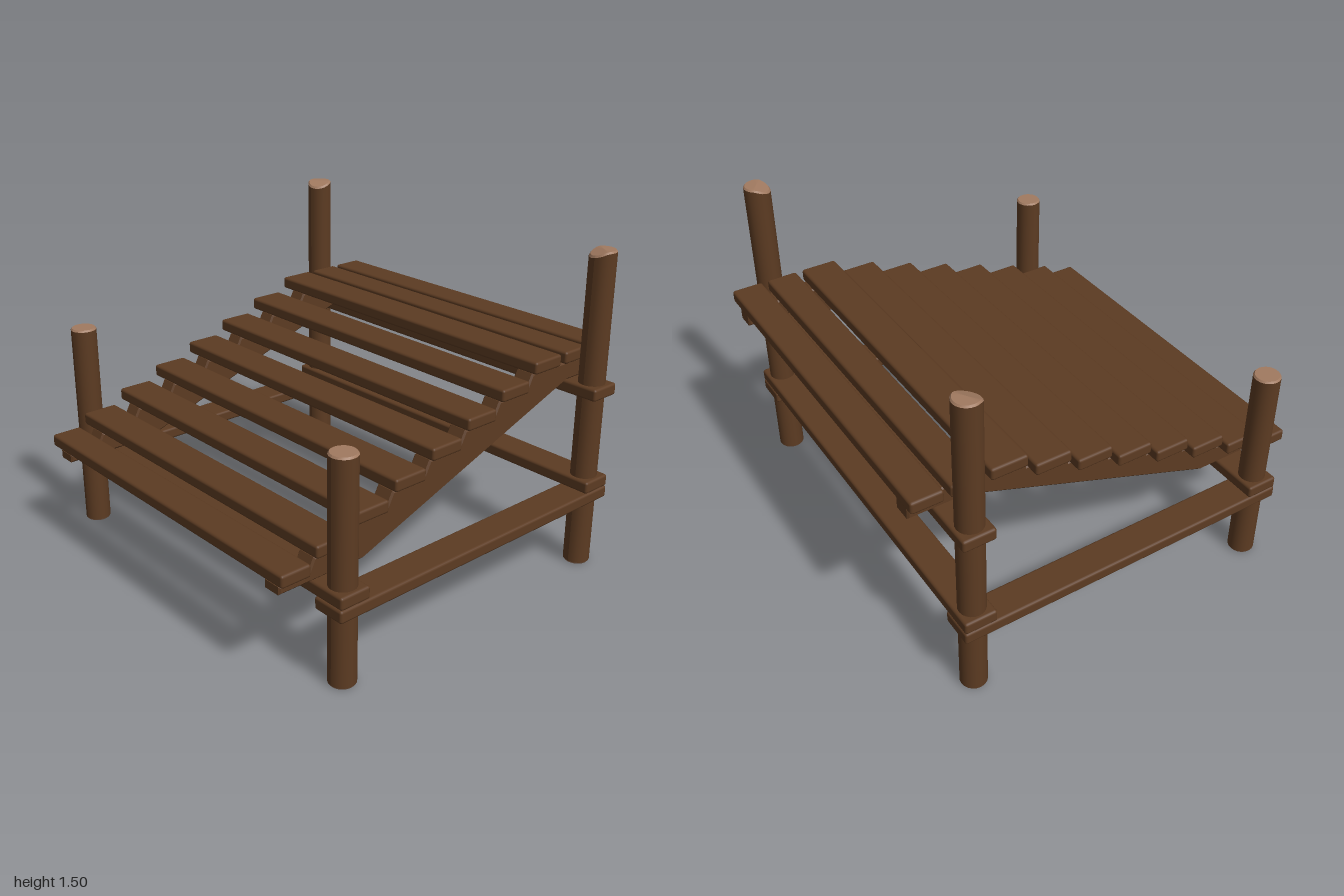
import * as THREE from 'three';
import { RoundedBoxGeometry } from 'three/addons/geometries/RoundedBoxGeometry.js';

const wood = new THREE.MeshStandardMaterial({ color: 0x5c3b22 });
wood.name = 'dark wood';
const cutWood = new THREE.MeshStandardMaterial({ color: 0xa17a60 });
cutWood.name = 'cut wood';

const POST_X = 0.922, FRONT_Z = 0.715, REAR_Z = -0.757, POST_R = 0.06;
const BOARD = 0.057;

// Planks from front to rear: [front z, rear z, centre y]
const planks = [[0.96, 0.815, 0.512]];
for (let i = 0; i < 7; i++) {
  const z = 0.787 - i * 0.2055;
  planks.push([z, z - 0.17, 0.574 + i * 0.0722]);
}
planks.push([-0.647, -0.792, 1.007], [-0.82, -0.965, 1.007]);

// Softened board spanning the given size about a centre
function board(name, w, h, d, x, y, z) {
  const mesh = new THREE.Mesh(new RoundedBoxGeometry(w, h, d, 2, 0.012), wood);
  mesh.name = name;
  mesh.position.set(x, y, z);
  return mesh;
}

// Round post with pale chamfered ends; the top can be cut at a slant
function post(name, x, z, height, slant) {
  const group = new THREE.Group();
  group.name = name;
  const c = 0.008;
  const parts = [
    ['postTrunk', POST_R, POST_R, c, height - c, wood],
    ['postTop', POST_R - 0.006, POST_R, height - c, height, cutWood],
    ['postBottom', POST_R, POST_R - 0.006, 0, c, cutWood],
  ];
  for (const [label, rTop, rBottom, y0, y1, material] of parts) {
    const geo = new THREE.CylinderGeometry(rTop, rBottom, y1 - y0, 20, 1, label === 'postTrunk');
    geo.translate(0, (y0 + y1) / 2, 0);
    const p = geo.attributes.position;
    for (let i = 0; i < p.count; i++) {
      if (p.getY(i) < height / 2) continue;
      const toward = (p.getZ(i) - Math.sign(x) * p.getX(i) * 0.6) / POST_R;
      p.setY(i, p.getY(i) - slant * Math.max(0, toward));
    }
    geo.computeVertexNormals();
    const mesh = new THREE.Mesh(geo, material);
    mesh.name = label;
    group.add(mesh);
  }
  group.position.set(x, 0, z);
  return group;
}

// Notched beam carrying the planks, extruded across x
function stringer(name, x) {
  const points = [[0.958, 0.45]];
  planks.slice(0, 8).forEach(([front, rear, y]) => {
    const top = y - BOARD / 2 + 0.002;
    points.push([front - 0.002, top], [rear, top]);
  });
  points.push([-0.945, 0.978], [-0.945, 0.893], [-0.69, 0.893], [0.53, 0.45]);
  const shape = new THREE.Shape(points.map(([z, y]) => new THREE.Vector2(z, y)));
  const width = 0.094, bevel = 0.008;
  const geo = new THREE.ExtrudeGeometry(shape, {
    depth: width - 2 * bevel, bevelEnabled: true, bevelSize: bevel,
    bevelOffset: -bevel, bevelThickness: bevel, bevelSegments: 1,
  });
  geo.translate(0, 0, -(width - 2 * bevel) / 2);
  geo.rotateY(-Math.PI / 2);
  const mesh = new THREE.Mesh(geo, wood);
  mesh.name = name;
  mesh.position.x = x;
  return mesh;
}

export function createModel() {
  const model = new THREE.Group();
  model.name = 'slopedPlatform';

  // Posts and the lower rails joining them along each side
  for (const [side, s] of [['left', 1], ['right', -1]]) {
    model.add(post(side + 'FrontPost', s * POST_X, FRONT_Z, 1.0, 0));
    model.add(post(side + 'RearPost', s * POST_X, REAR_Z, 1.495, 0.022));
    model.add(board(side + 'SideRail', 0.157, BOARD, 1.625, s * POST_X, 0.357, -0.02));
  }

  // Cross rails
  model.add(board('frontRail', 2, BOARD, 0.15, 0, 0.414, FRONT_Z));
  model.add(board('rearLowerRail', 2, BOARD, 0.15, 0, 0.414, REAR_Z));
  model.add(board('rearUpperRail', 2, BOARD, 0.15, 0, 0.862, REAR_Z));

  // Sloping beams and deck
  model.add(stringer('leftStringer', 0.792), stringer('rightStringer', -0.737));
  planks.forEach(([front, rear, y], i) => {
    model.add(board('plank' + (i + 1), 1.711, BOARD, front - rear, 0.002, y, (front + rear) / 2));
  });
  return model;
}
